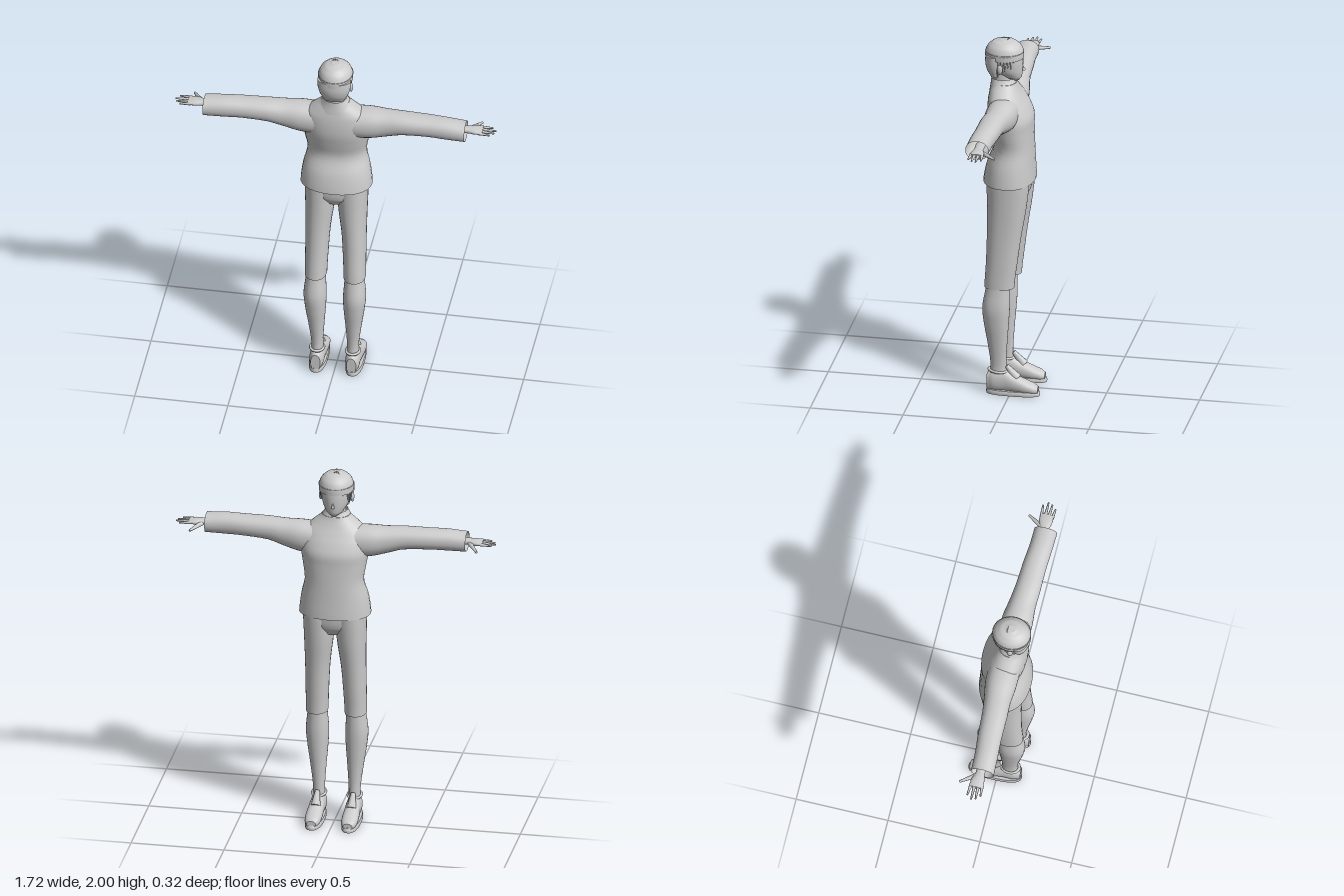
import * as THREE from 'three';

const clay = new THREE.MeshStandardMaterial({ color: 0xcccccc, side: THREE.DoubleSide });
clay.name = 'plain grey';

// Smooth loft through ellipse sections [t, u, v, ru, rv] along an axis.
// Axis y: u = x, v = z. Axis x: u = y, v = z. Axis z: u = x, v = y.
function loft(axis, sections, { caps = [true, true], steps = 4, sides = 28, power = 2.2 } = {}) {
  const pos = [], idx = [], rows = [];
  const put = (t, u, v) => pos.push(...(axis === 'y' ? [u, t, v] : axis === 'x' ? [t, u, v] : [u, v, t]));
  const flip = axis === 'y';
  const face = (a, b, c) => (flip ? idx.push(a, c, b) : idx.push(a, b, c));
  const n = sections.length;
  for (let i = 0; i < n - 1; i++) {
    const [p0, p1, p2, p3] = [i - 1, i, i + 1, i + 2].map(k => sections[Math.min(n - 1, Math.max(0, k))]);
    for (let s = 0; s < steps; s++) {
      const f = s / steps;
      rows.push(p1.map((b, k) => {
        if (k === 0) return b + (p2[0] - b) * f;
        const c = p2[k], m = (c - p0[k]) / 2, q = (p3[k] - b) / 2;
        return b + m * f + (3 * (c - b) - 2 * m - q) * f * f + (2 * (b - c) + m + q) * f ** 3;
      }));
    }
  }
  rows.push(sections[n - 1]);
  const round = c => Math.sign(c) * Math.abs(c) ** (2 / power);
  rows.forEach(([t, u, v, ru, rv]) => {
    for (let j = 0; j < sides; j++) {
      const a = (j / sides) * Math.PI * 2;
      put(t, u + ru * round(Math.cos(a)), v + rv * round(Math.sin(a)));
    }
  });
  for (let i = 0; i < rows.length - 1; i++) {
    for (let j = 0; j < sides; j++) {
      const a = i * sides + j, b = i * sides + (j + 1) % sides;
      face(a, b, b + sides);
      face(a, b + sides, a + sides);
    }
  }
  // Caps have their own rims so edges stay sharp
  [0, rows.length - 1].forEach((r, end) => {
    if (!caps[end]) return;
    const base = pos.length / 3;
    for (let j = 0; j < sides; j++) pos.push(...pos.slice((r * sides + j) * 3, (r * sides + j) * 3 + 3));
    put(rows[r][0], rows[r][1], rows[r][2]);
    for (let j = 0; j < sides; j++) {
      const a = base + j, b = base + (j + 1) % sides;
      end ? face(a, b, base + sides) : face(b, a, base + sides);
    }
  });
  const g = new THREE.BufferGeometry();
  g.setAttribute('position', new THREE.Float32BufferAttribute(pos, 3));
  g.setIndex(idx);
  g.computeVertexNormals();
  return g;
}

function add(group, name, geometry) {
  const mesh = new THREE.Mesh(geometry, clay);
  mesh.name = name;
  group.add(mesh);
}

// Adds a left part and its mirrored right twin
function addPair(group, name, geometry) {
  add(group, 'left ' + name, geometry);
  const g = geometry.clone().scale(-1, 1, 1);
  const ix = g.index.array;
  for (let i = 0; i < ix.length; i += 3) [ix[i], ix[i + 1]] = [ix[i + 1], ix[i]];
  add(group, 'right ' + name, g);
}

// Tapered digit from point a to point b
function digit(a, b, r) {
  const from = new THREE.Vector3(...a), to = new THREE.Vector3(...b), d = to.clone().sub(from);
  const g = new THREE.CylinderGeometry(r * 0.45, r, d.length(), 8, 1);
  g.applyQuaternion(new THREE.Quaternion().setFromUnitVectors(new THREE.Vector3(0, 1, 0), d.normalize()));
  return g.translate(...from.add(to).multiplyScalar(0.5).toArray());
}

function addClothes(g) {
  add(g, 'jacket', loft('y', [
    [1.2, 0, 0.02, 0.192, 0.138], [1.3, 0, 0.013, 0.18, 0.126], [1.4, 0, -0.003, 0.158, 0.106],
    [1.5, 0, 0.008, 0.172, 0.114], [1.56, 0, 0.015, 0.181, 0.119], [1.62, 0, 0.028, 0.18, 0.108],
    [1.67, 0, 0.04, 0.165, 0.092], [1.71, 0, 0.047, 0.12, 0.078], [1.75, 0, 0.05, 0.075, 0.066],
  ], { caps: [false, true] }));
  add(g, 'collar', loft('y', [
    [1.7, 0, 0.05, 0.105, 0.078], [1.74, 0, 0.053, 0.08, 0.07], [1.775, 0, 0.058, 0.06, 0.062],
  ], { caps: [false, false] }));
  addPair(g, 'sleeve', loft('x', [
    [0.1, 1.61, 0.035, 0.085, 0.085], [0.19, 1.615, 0.036, 0.084, 0.083], [0.27, 1.624, 0.04, 0.073, 0.073],
    [0.36, 1.638, 0.048, 0.061, 0.068], [0.5, 1.642, 0.053, 0.056, 0.064], [0.6, 1.641, 0.06, 0.056, 0.062],
    [0.702, 1.637, 0.063, 0.052, 0.062],
  ], { caps: [true, false] }));
  add(g, 'shorts seat', loft('y', [
    [1.09, 0, 0.02, 0.09, 0.075], [1.14, 0, 0.018, 0.155, 0.108], [1.25, 0, 0.015, 0.165, 0.115],
  ]));
  addPair(g, 'shorts leg', loft('y', [
    [0.61, 0.104, 0.058, 0.058, 0.08], [0.75, 0.101, 0.046, 0.061, 0.084], [0.9, 0.096, 0.034, 0.066, 0.092],
    [1.05, 0.088, 0.022, 0.077, 0.104], [1.22, 0.085, 0.015, 0.085, 0.115],
  ], { caps: [false, true] }));
}

function addLimbs(g) {
  addPair(g, 'lower leg', loft('y', [
    [0.09, 0.096, 0.065, 0.032, 0.045], [0.17, 0.096, 0.065, 0.031, 0.042], [0.3, 0.1, 0.07, 0.043, 0.054],
    [0.42, 0.104, 0.075, 0.056, 0.068], [0.5, 0.106, 0.075, 0.06, 0.073], [0.6, 0.104, 0.066, 0.052, 0.065],
    [0.68, 0.102, 0.06, 0.05, 0.06],
  ]));
  // Shoes point to the face side, toe at -z
  addPair(g, 'shoe upper', loft('z', [
    [-0.15, 0.098, 0.03, 0.025, 0.018], [-0.125, 0.098, 0.036, 0.039, 0.028], [-0.08, 0.098, 0.045, 0.044, 0.038],
    [-0.02, 0.097, 0.058, 0.042, 0.05], [0.03, 0.096, 0.07, 0.039, 0.063], [0.09, 0.096, 0.068, 0.038, 0.06],
    [0.125, 0.096, 0.06, 0.026, 0.05],
  ]));
  addPair(g, 'shoe sole', loft('y', [
    [0, 0.098, -0.015, 0.047, 0.145], [0.012, 0.098, -0.015, 0.048, 0.145], [0.025, 0.098, -0.013, 0.045, 0.141],
  ], { power: 2.5 }));
  addPair(g, 'shoe tongue', digit([0.096, 0.09, -0.035], [0.096, 0.155, 0.02], 0.027));
  const rim = new THREE.TorusGeometry(0.036, 0.007, 8, 24).rotateX(Math.PI / 2);
  addPair(g, 'shoe rim', rim.scale(1, 1, 1.3).rotateX(-0.1).translate(0.096, 0.127, 0.068));

  addPair(g, 'hand', loft('x', [
    [0.64, 1.643, 0.055, 0.019, 0.026], [0.71, 1.643, 0.053, 0.017, 0.025], [0.75, 1.643, 0.05, 0.016, 0.036],
    [0.79, 1.643, 0.05, 0.011, 0.036],
  ], { sides: 18 }));
  [[0.021, 0.015, 0.84], [0.041, 0.04, 0.86], [0.06, 0.063, 0.853], [0.08, 0.085, 0.832]].forEach(([z0, z1, x], i) =>
    addPair(g, 'finger ' + (i + 1), digit([0.775, 1.643, z0], [x, 1.64, z1], 0.0095)));
  addPair(g, 'thumb', digit([0.722, 1.638, 0.035], [0.772, 1.625, -0.045], 0.014));
}

function addHead(g) {
  add(g, 'neck', loft('y', [[1.68, 0, 0.055, 0.052, 0.052], [1.84, 0, 0.06, 0.048, 0.05]]));
  add(g, 'face', loft('y', [
    [1.762, 0, -0.012, 0.016, 0.016], [1.78, 0, 0.005, 0.042, 0.047], [1.82, 0, 0.032, 0.067, 0.08],
    [1.88, 0, 0.045, 0.08, 0.094], [1.94, 0, 0.046, 0.075, 0.085], [1.975, 0, 0.048, 0.04, 0.05],
  ], { power: 2 }));
  add(g, 'nose', new THREE.ConeGeometry(0.01, 0.035, 6).rotateX(0.25).translate(0, 1.836, -0.05));
  addPair(g, 'ear', new THREE.SphereGeometry(1, 12, 8).scale(0.01, 0.027, 0.016).translate(0.085, 1.845, 0.06));
  add(g, 'hair crown', loft('y', [
    [1.89, 0, 0.05, 0.092, 0.103], [1.925, 0, 0.05, 0.091, 0.102], [1.955, 0, 0.05, 0.079, 0.088],
    [1.978, 0, 0.05, 0.054, 0.06], [1.989, 0, 0.05, 0.02, 0.022],
  ], { power: 2 }));
  add(g, 'hair back', loft('y', [
    [1.785, 0, 0.095, 0.058, 0.03], [1.82, 0, 0.1, 0.074, 0.043], [1.86, 0, 0.1, 0.086, 0.052], [1.91, 0, 0.095, 0.09, 0.056],
  ], { power: 2 }));
  // Hanging locks: short over the face, long at the nape
  let seed = 7;
  const rand = () => (seed = (seed * 16807) % 2147483647) / 2147483647;
  const count = 34;
  for (let i = 0; i < count; i++) {
    const a = (i / count) * Math.PI * 2, back = Math.sin(a);
    const tip = (back < -0.6 ? 1.865 : back < 0.1 ? 1.825 : 1.775) + rand() * 0.025;
    const top = 1.925, length = top - tip;
    const lock = new THREE.ConeGeometry(0.017, length, 5).rotateX(Math.PI).scale(1, 1, 0.45);
    lock.translate(0, -length / 2, 0).rotateX(back > 0 ? 0.16 : 0.05).rotateY(Math.PI / 2 - a);
    add(g, 'hair lock', lock.translate(Math.cos(a) * 0.087, top, 0.05 + back * 0.097));
  }
  // Small tuft on the crown
  [-0.6, 0.1, 0.7].forEach((tilt, i) =>
    add(g, 'crown tuft', new THREE.ConeGeometry(0.01, 0.035, 5).rotateZ(tilt).translate(-0.02 + i * 0.016, 1.983, 0.03)));
}

export function createModel() {
  const model = new THREE.Group();
  model.name = 'standing figure';
  for (const [name, build] of [['clothes', addClothes], ['limbs', addLimbs], ['head', addHead]]) {
    const part = new THREE.Group();
    part.name = name;
    build(part);
    model.add(part);
  }
  return model;
}
